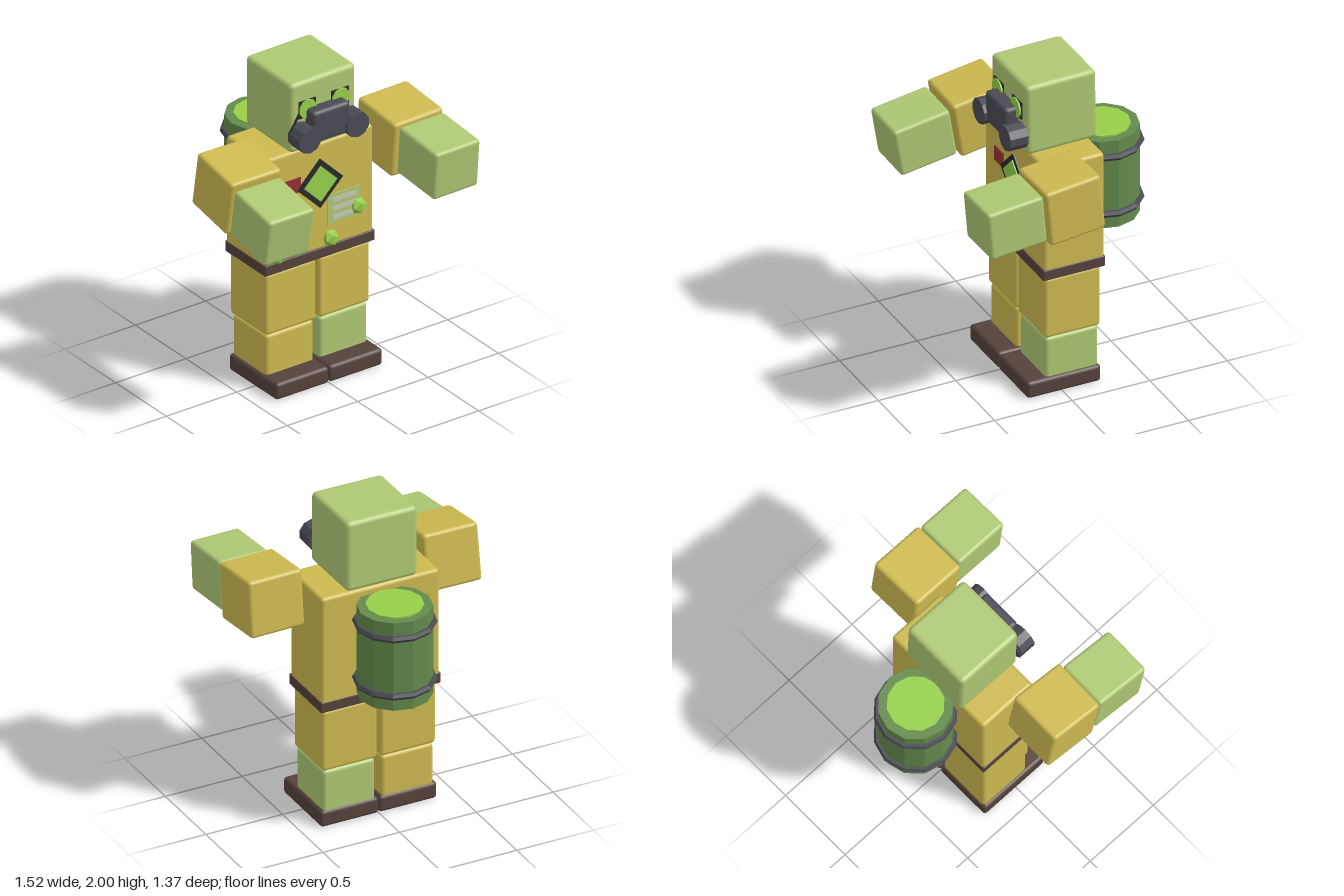
import * as THREE from 'three';
import { RoundedBoxGeometry } from 'three/addons/geometries/RoundedBoxGeometry.js';

const paint = (name, color) => {
  const m = new THREE.MeshStandardMaterial({ color });
  m.name = name;
  return m;
};

// Facet a geometry so every side reads as a flat plane
const faceted = (geometry) => {
  const g = geometry.index ? geometry.toNonIndexed() : geometry;
  g.computeVertexNormals();
  return g;
};

export function createModel() {
  const suit = paint('suit yellow', 0xcdb950);
  const skin = paint('skin green', 0xaec873);
  const leather = paint('leather brown', 0x55423b);
  const rubber = paint('rubber grey', 0x4a4a53);
  const black = paint('black', 0x29292d);
  const drumGreen = paint('drum green', 0x638a4b);
  const glow = paint('glowing green', 0x96cf4a);
  const red = paint('patch red', 0x96302f);
  const print = paint('print grey', 0xc6c8b8);

  const model = new THREE.Group();
  model.name = 'figure';

  const add = (name, geometry, material, pos, rot = [0, 0, 0], parent = model) => {
    const mesh = new THREE.Mesh(geometry, material);
    mesh.name = name;
    mesh.position.set(...pos);
    mesh.rotation.set(...rot);
    parent.add(mesh);
    return mesh;
  };
  const block = (name, size, material, pos, rot, radius = 0.022) =>
    add(name, new RoundedBoxGeometry(...size, 2, radius), material, pos, rot);
  const plate = (name, w, h, material, x, y, z, roll = 0, d = 0.008) =>
    add(name, new THREE.BoxGeometry(w, h, d), material, [x, y, z], [0, 0, roll]);

  // Trunk and head
  block('torso', [0.77, 0.71, 0.39], suit, [0, 1.177, -0.073]);
  block('belt', [0.78, 0.07, 0.4], leather, [0, 0.81, -0.07], undefined, 0.008);
  block('head', [0.465, 0.455, 0.452], skin, [0.003, 1.772, -0.068], [0.015, 0, 0.01], 0.03);

  // Legs: one shin is bare
  for (const side of [-1, 1]) {
    const tag = side > 0 ? 'left' : 'right';
    const x = side * 0.19;
    block(`${tag}Thigh`, [0.36, 0.4, 0.36], suit, [x, 0.572, -0.07]);
    block(`${tag}Shin`, [0.338, 0.285, 0.338], side > 0 ? skin : suit, [x, 0.225, -0.07]);
    block(`${tag}Boot`, [0.378, 0.108, 0.475], leather, [x, 0.056, -0.012]);
  }

  // Arms reach forward, the right one lower
  const arms = [
    { tag: 'left', s: 1, pitch: 0.1, upper: [1.436, 0.105], fore: [1.414, 0.477], forePitch: 0.085 },
    { tag: 'right', s: -1, pitch: 0.165, upper: [1.425, 0.108], fore: [1.357, 0.476], forePitch: 0.165 },
  ];
  for (const a of arms) {
    block(`${a.tag}UpperArm`, [0.355, 0.36, 0.36], suit, [a.s * 0.578, ...a.upper], [a.pitch, a.s * 0.02, 0]);
    block(`${a.tag}Forearm`, [0.322, 0.312, 0.365], skin, [a.s * 0.591, ...a.fore], [a.forePitch, a.s * 0.015, 0]);
  }

  // Face: glowing eyes on dark sockets, breathing mask with two filters
  const disc = faceted(new THREE.CylinderGeometry(0.062, 0.062, 0.009, 10).rotateX(Math.PI / 2));
  const filter = faceted(new THREE.CylinderGeometry(0.08, 0.08, 0.115, 10).rotateX(Math.PI / 2));
  for (const side of [-1, 1]) {
    plate('eyeSocket', 0.12, 0.11, black, side * 0.117, 1.815, 0.164);
    add('eye', disc, glow, [side * 0.117, 1.815, 0.173]);
    add('maskFilter', filter, rubber, [side * 0.17, 1.66, 0.212]);
  }
  block('mask', [0.265, 0.205, 0.1], rubber, [0, 1.718, 0.2], undefined, 0.025);
  plate('maskStrap', 0.014, 0.16, black, -0.2, 1.75, 0.165, -0.55);

  // Chest details
  plate('emblemFrame', 0.228, 0.228, black, 0, 1.27, 0.129, Math.PI / 4);
  plate('emblemCentre', 0.165, 0.165, glow, 0, 1.27, 0.135, Math.PI / 4);
  plate('redPatch', 0.115, 0.095, red, -0.192, 1.304, 0.124);
  plate('label', 0.23, 0.19, skin, 0.173, 1.075, 0.124);
  for (let i = 0; i < 3; i++) {
    plate('labelLine', 0.175, 0.027, print, 0.172, 1.132 - i * 0.057, 0.128);
  }
  const crystal = new THREE.IcosahedronGeometry(0.055, 0);
  for (const [x, y] of [[-0.115, 1.04], [0.27, 1.04], [-0.307, 0.89], [0.075, 0.89]]) {
    add('crystal', crystal, glow, [x, y, 0.125]);
  }

  // Drum carried on the back
  const drum = new THREE.Group();
  drum.name = 'backDrum';
  drum.position.set(0, 0, -0.44);
  model.add(drum);
  add('drumBody', faceted(new THREE.CylinderGeometry(0.222, 0.222, 0.58, 12)), drumGreen, [0, 1.195, 0], undefined, drum);
  add('drumLiquid', faceted(new THREE.CylinderGeometry(0.17, 0.17, 0.018, 12)), glow, [0, 1.486, 0], undefined, drum);
  const hoop = faceted(new THREE.TorusGeometry(0.226, 0.022, 6, 12).rotateX(Math.PI / 2));
  for (const y of [1.0, 1.38]) add('drumHoop', hoop, rubber, [0, y, 0], undefined, drum);

  return model;
}
